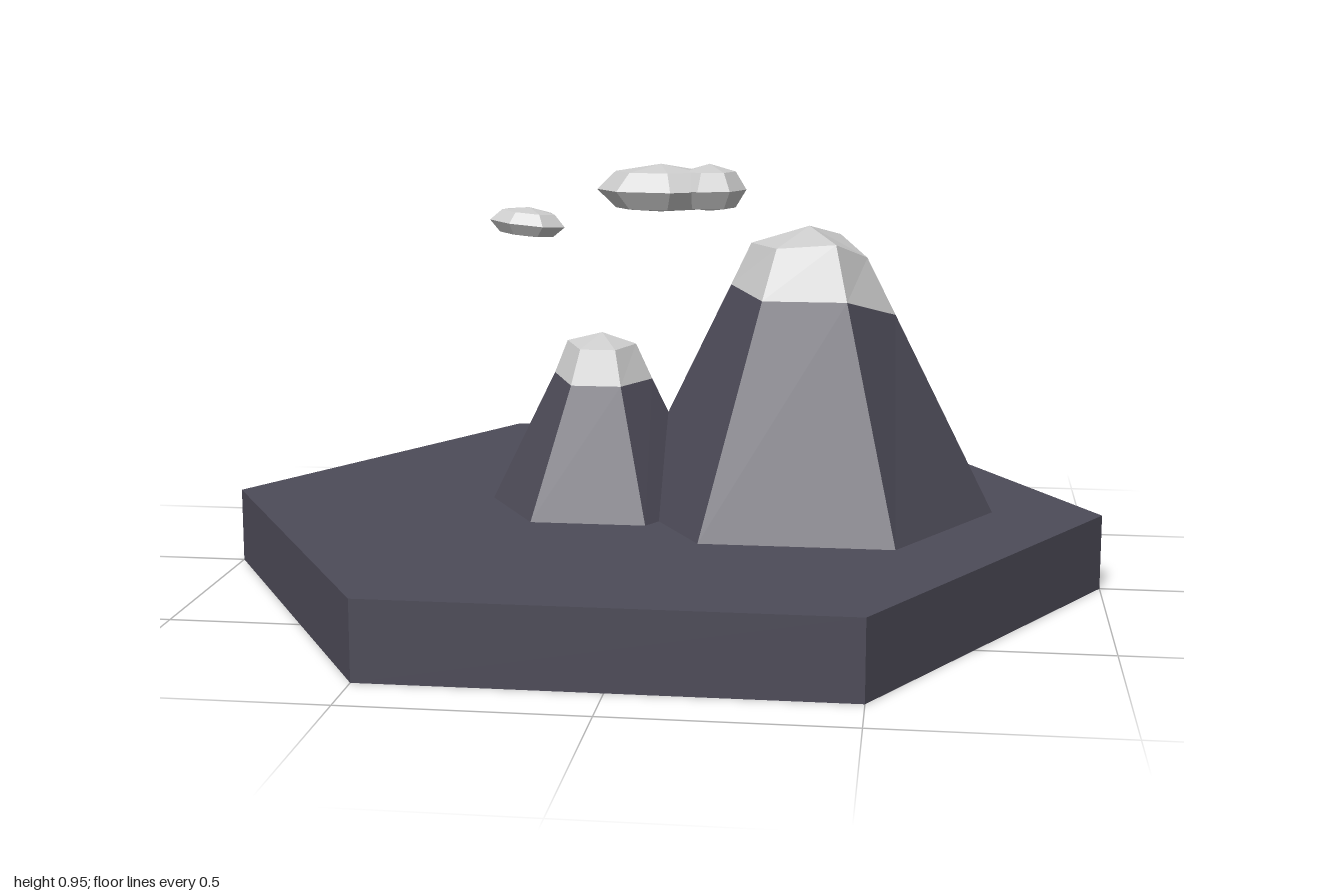
import * as THREE from 'three';

const rock = new THREE.MeshStandardMaterial({ color: 0x4d4b58, flatShading: true });
const snow = new THREE.MeshStandardMaterial({ color: 0xcccccc, flatShading: true });

// Six-cornered ring; radii and heights run right, front right, front left, left
// and are mirrored to the back.
function ring(x, radii, heights) {
  return [0, 1, 2, 3, 2, 1].map((j, k) => {
    const a = k * Math.PI / 3;
    return [x + radii[j] * Math.cos(a), heights[j], radii[j] * Math.sin(a)];
  });
}

// Faceted wall between two rings, or from a ring up to an apex
function facets(lower, upper, apex) {
  const p = [];
  for (let k = 0; k < 6; k++) {
    const n = (k + 1) % 6;
    if (apex) p.push(...lower[k], ...apex, ...lower[n]);
    else p.push(...lower[k], ...upper[k], ...lower[n], ...lower[n], ...upper[k], ...upper[n]);
  }
  return p;
}

function mesh(name, positions, material) {
  const g = new THREE.BufferGeometry();
  g.setAttribute('position', new THREE.Float32BufferAttribute(positions, 3));
  g.computeVertexNormals();
  const m = new THREE.Mesh(g, material);
  m.name = name;
  return m;
}

// Hexagonal rock slope with an uneven snow cap
function mountain(name, x, baseR, line, rim, peak) {
  const base = ring(x, Array(4).fill(baseR), Array(4).fill(0.17));
  const snowLine = ring(x, line.r, line.y);
  const top = ring(x, rim.r, rim.y);
  const group = new THREE.Group();
  group.name = name;
  group.add(
    mesh('rockSlope', facets(base, snowLine), rock),
    mesh('snowCap', [...facets(snowLine, top), ...facets(top, null, [x, peak, 0])], snow)
  );
  return group;
}

// Squashed faceted puff with a flattened underside
function puff(name, center, size, turn, tilt = 0) {
  const g = new THREE.SphereGeometry(1, 7, 4);
  const p = g.attributes.position;
  for (let i = 0; i < p.count; i++) p.setY(i, Math.max(p.getY(i), -0.85));
  g.rotateY(turn);
  g.scale(...size);
  g.rotateZ(tilt);
  const m = new THREE.Mesh(g, snow);
  m.name = name;
  m.position.set(...center);
  return m;
}

export function createModel() {
  const model = new THREE.Group();
  model.name = 'mountainTile';

  // Ground slab
  const slab = new THREE.Mesh(new THREE.CylinderGeometry(1, 1, 0.17, 6).rotateY(Math.PI / 2), rock);
  slab.name = 'groundSlab';
  slab.position.y = 0.085;
  model.add(slab);

  // Mountains
  model.add(
    mountain('largeMountain', 0.335, 0.42,
      { r: [0.195, 0.185, 0.185, 0.175], y: [0.617, 0.665, 0.665, 0.68] },
      { r: [0.13, 0.13, 0.13, 0.13], y: [0.745, 0.785, 0.775, 0.775] }, 0.815),
    mountain('smallMountain', -0.135, 0.257,
      { r: [0.115, 0.113, 0.113, 0.11], y: [0.46, 0.457, 0.457, 0.47] },
      { r: [0.078, 0.08, 0.08, 0.08], y: [0.54, 0.535, 0.535, 0.545] }, 0.565)
  );

  // Clouds
  const cloud = new THREE.Group();
  cloud.name = 'largeCloud';
  cloud.add(
    puff('cloudMiddle', [0, 0.892, 0], [0.145, 0.058, 0.095], 0),
    puff('cloudSide', [0.11, 0.894, 0], [0.083, 0.057, 0.085], Math.PI)
  );
  model.add(cloud, puff('smallCloud', [-0.305, 0.813, 0], [0.088, 0.036, 0.06], 0.3, -0.1));
  return model;
}
